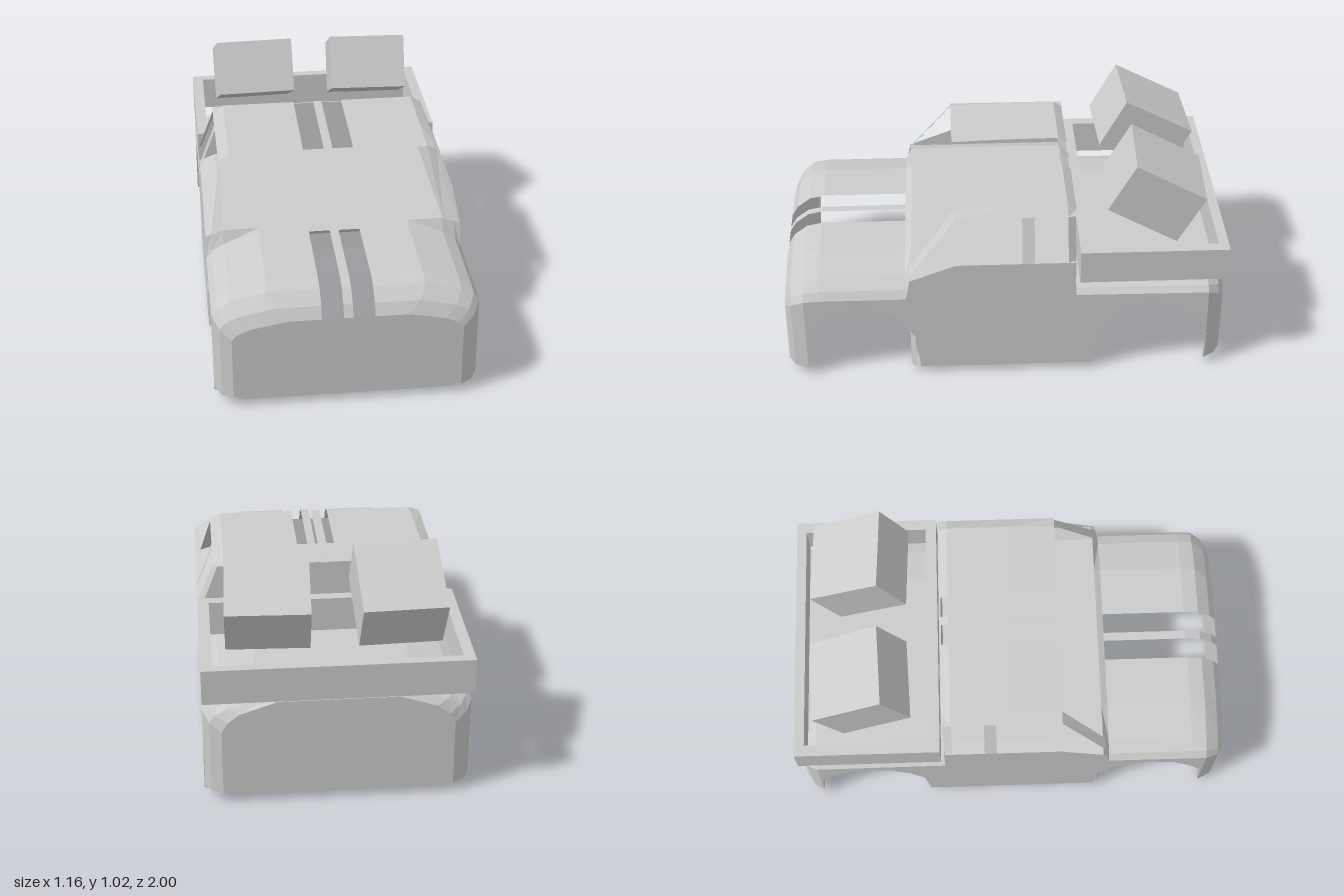
import * as THREE from 'three';

const mat = new THREE.MeshStandardMaterial({ color: 0xcccccc, flatShading: true, side: THREE.DoubleSide });

// Sheet through rows of [x, y, z] points
function sheet(name, rows) {
  const n = rows[0].length, index = [];
  for (let r = 0; r < rows.length - 1; r++)
    for (let i = 0; i < n - 1; i++) {
      const a = r * n + i, b = a + n;
      index.push(a, b, a + 1, b, b + 1, a + 1);
    }
  const g = new THREE.BufferGeometry();
  g.setAttribute('position', new THREE.Float32BufferAttribute(rows.flat(2), 3));
  g.setIndex(index);
  g.computeVertexNormals();
  return named(name, g);
}

function named(name, geometry) {
  const m = new THREE.Mesh(geometry, mat);
  m.name = name;
  return m;
}

function box(name, x0, x1, y0, y1, z0, z1) {
  const m = named(name, new THREE.BoxGeometry(x1 - x0, y1 - y0, z1 - z0));
  m.position.set((x0 + x1) / 2, (y0 + y1) / 2, (z0 + z1) / 2);
  return m;
}

function flat(name, pts, z = 0) {
  const m = named(name, new THREE.ShapeGeometry(new THREE.Shape(pts.map(p => new THREE.Vector2(p[0], p[1])))));
  m.position.z = z;
  return m;
}

// Rounded cross-section of hood or deck: centre height y, half width w, edge drop d
const section = ([z, y, w, d], inner) => [
  [inner, y, z], [w - 0.24, y, z], [w - 0.08, y - 0.38 * d, z],
  [w - 0.025, y - 0.68 * d, z], [w, y - d, z]
];
const hood = [[1, 0.42, 0.5, 0.08], [0.97, 0.47, 0.55, 0.09], [0.91, 0.515, 0.58, 0.1],
  [0.84, 0.53, 0.58, 0.11], [0.45, 0.53, 0.58, 0.11]];
const deck = [[-1, 0.488, 0.5, 0.14], [-0.97, 0.489, 0.55, 0.105], [-0.92, 0.49, 0.58, 0.075],
  [-0.32, 0.49, 0.58, 0.07]];
// Roof line: [z, y, height of the bevel]
const roofLine = [[0.225, 0.815, 0.018], [0, 0.822, 0.025], [-0.28, 0.825, 0.028], [-0.32, 0.8, 0.003]];

function buildSide() {
  const g = new THREE.Group();

  // Side panel with both wheel arches
  const panel = flat('sidePanel', [
    [0.91, 0.415], [0.45, 0.42], [0.43, 0.52], [0.22, 0.6], [-0.315, 0.6], [-0.315, 0.42], [-0.92, 0.415],
    [-0.925, 0.05], [-0.91, 0.22], [-0.86, 0.3], [-0.77, 0.36], [-0.67, 0.38], [-0.57, 0.36],
    [-0.49, 0.3], [-0.425, 0.22], [-0.4, 0.03],
    [0.39, 0.03], [0.41, 0.2], [0.47, 0.3], [0.56, 0.36], [0.66, 0.38], [0.76, 0.36],
    [0.84, 0.3], [0.9, 0.22], [0.91, 0.03]
  ]);
  panel.rotation.y = -Math.PI / 2;
  panel.position.x = 0.58;
  g.add(panel);

  // Hood half, deck half and the corners below them
  g.add(sheet('hoodHalf', hood.map(s => section(s, 0.115))));
  g.add(sheet('deckHalf', deck.map(s => section(s, 0))));
  for (const [name, part] of [['frontCorner', hood], ['rearCorner', deck]])
    g.add(sheet(name, part.slice(0, 3).map(([z, y, w, d]) => [[w, y - d, z], [w, 0.04, z]])));

  // Cowl sloping up from the hood to the cab, with a bulkhead below
  g.add(sheet('cowl', [
    section([0.43, 0.505, 0.575, 0.09], 0),
    section([0.45, 0.53, 0.58, 0.11], 0),
    [[0, 0.545, 0.42], [0.34, 0.545, 0.42], [0.5, 0.545, 0.42], [0.555, 0.525, 0.42], [0.58, 0.515, 0.42]]
  ]));
  g.add(flat('bulkhead', [[0, 0.42], ...section([0.43, 0.505, 0.575, 0.085], 0)], 0.43));

  // Bent flaps at the feet of the wheel arches
  for (const [z, dz] of [[0.91, 0.005], [0.41, 0.025], [-0.402, 0], [-0.925, -0.005]])
    g.add(sheet('archFlap', [
      [[0.58, 0.22, z], [0.58, 0.03, z]],
      [[0.515, 0.2, z + dz], [0.515, 0, z + dz]]
    ]));

  // Windscreen, middle and rear window pillars as thin strips
  g.add(sheet('frontPillar', [
    [[0.555, 0.53, 0.43], [0.505, 0.545, 0.43]],
    [[0.5, 0.797, 0.215], [0.455, 0.815, 0.225]]
  ]));
  g.add(sheet('middlePillar', [
    [[0.58, 0.6, -0.075], [0.58, 0.6, -0.13]],
    [[0.505, 0.797, -0.075], [0.505, 0.797, -0.13]]
  ]));
  g.add(sheet('rearPillar', [
    [[0.58, 0.6, -0.28], [0.56, 0.6, -0.315]],
    [[0.505, 0.797, -0.28], [0.485, 0.797, -0.315]]
  ]));

  // Roof half with a bevelled outer edge
  g.add(sheet('roofHalf', roofLine.map(([z, y, b]) => [[0.115, y, z], [0.455, y, z], [0.505, y - b, z]])));

  // Cargo bed side rail
  g.add(box('bedRail', 0.53, 0.58, 0.49, 0.65, -1, -0.335));

  // Tilted crate
  const crate = box('crate', 0.1, 0.465, -0.1275, 0.1275, -0.18, 0.18);
  crate.position.set(0.283, 0.823, -0.685);
  crate.rotation.set(-0.495, -0.04, 0, 'YXZ');
  g.add(crate);
  return g;
}

export function createModel() {
  const model = new THREE.Group();
  model.name = 'pickupTruck';

  const left = buildSide(), right = buildSide();
  left.name = 'leftSide';
  right.name = 'rightSide';
  right.scale.x = -1;
  model.add(left, right);

  // Front and rear panels, cut to the end sections of hood and deck
  for (const [name, end] of [['frontPanel', hood[0]], ['rearPanel', deck[0]]]) {
    const half = [[0.45, 0.03], [0.5, 0.05], ...section(end, 0.02).reverse()];
    model.add(flat(name, [...half, ...half.map(([x, y]) => [-x, y]).reverse()], end[0]));
  }

  // Narrow ribs along the hood and roof
  for (const [name, line] of [['hoodRib', hood], ['roofRib', roofLine]])
    model.add(sheet(name, line.map(([z, y]) => [[-0.02, y, z], [0.02, y, z]])));

  // Cab floor
  const across = z => [[-0.58, 0.515, z], [-0.5, 0.545, z], [0.5, 0.545, z], [0.58, 0.515, z]];
  model.add(sheet('cabFloor', [across(0.42), across(-0.315)]));

  // Rear cab wall
  model.add(flat('rearCabWall', [[-0.58, 0.43], [0.58, 0.43], [0.58, 0.6], [0.56, 0.6], [0.485, 0.8],
    [-0.485, 0.8], [-0.56, 0.6], [-0.58, 0.6]], -0.315));

  // Cargo bed end walls
  model.add(box('bedFrontWall', -0.53, 0.53, 0.49, 0.65, -0.385, -0.335));
  model.add(box('tailgate', -0.53, 0.53, 0.49, 0.65, -1, -0.955));
  return model;
}
